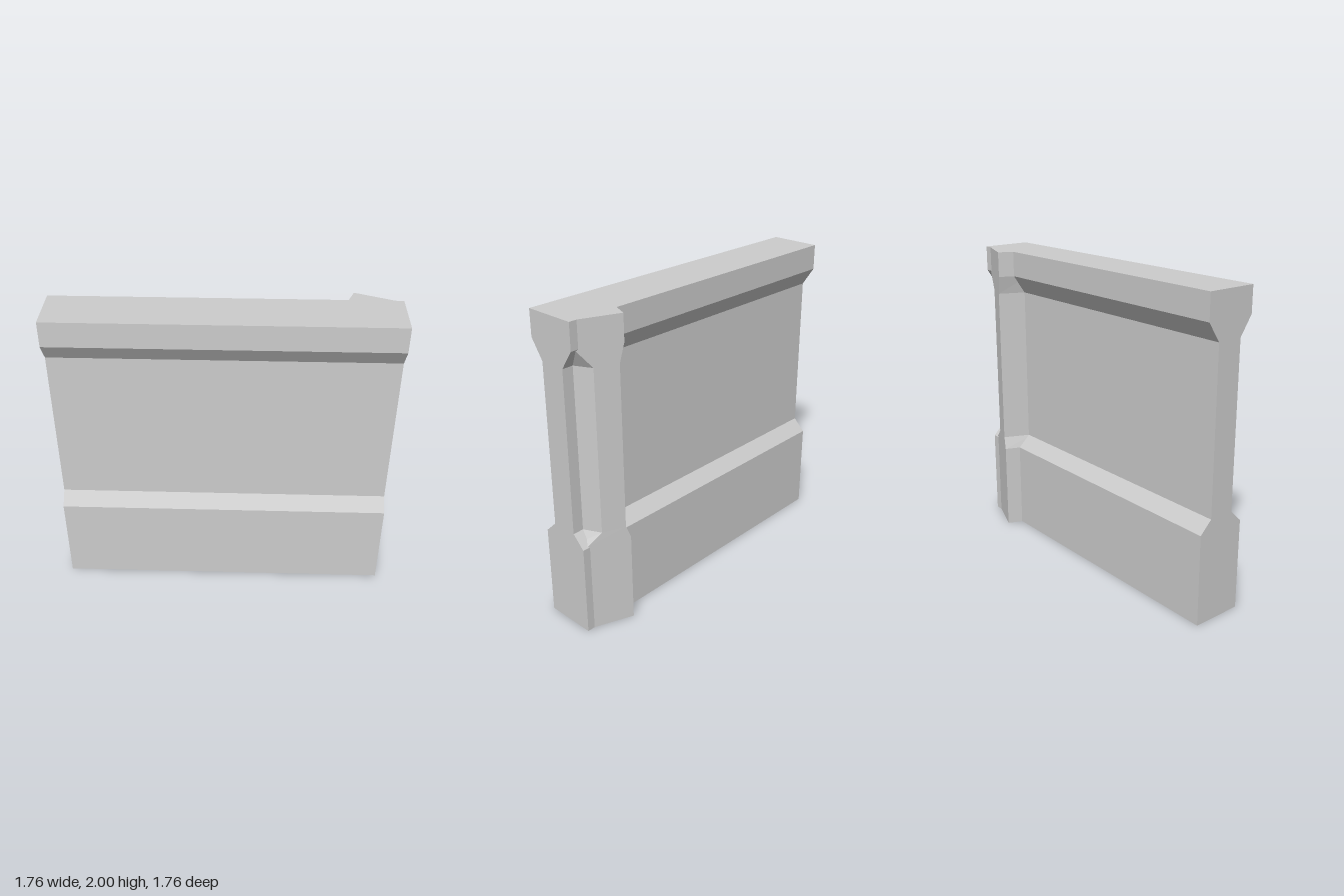
import * as THREE from 'three';

// Stack of matching convex plan outlines [x, z], counter-clockwise from above, capped at both ends
function loft(rings) {
  const pos = [];
  const tri = (...pts) => pts.forEach(p => pos.push(...p));
  const loops = rings.map(({ y, plan }) => plan.map(([x, z]) => [x, y, z]));
  const n = loops[0].length;
  for (let r = 0; r < loops.length - 1; r++) {
    const lo = loops[r], hi = loops[r + 1];
    for (let i = 0; i < n; i++) {
      const j = (i + 1) % n;
      tri(lo[i], lo[j], hi[j]);
      tri(lo[i], hi[j], hi[i]);
    }
  }
  const bottom = loops[0], top = loops[loops.length - 1];
  for (let i = 1; i < n - 1; i++) {
    tri(bottom[0], bottom[i + 1], bottom[i]);
    tri(top[0], top[i], top[i + 1]);
  }
  const geo = new THREE.BufferGeometry();
  geo.setAttribute('position', new THREE.Float32BufferAttribute(pos, 3));
  geo.computeVertexNormals();
  return geo;
}

export function createModel() {
  const group = new THREE.Group();
  const material = new THREE.MeshStandardMaterial({ color: 0xcccccc, flatShading: true });

  // Heights shared by the wall and the corner pillar
  const levels = [0, 0.59, 0.67, 1.715, 1.835, 2];
  const isWide = [true, true, false, false, true, true];

  // Wall: plinth, recessed panel and coping as one profile, extruded on the diagonal
  const wide = 0.166, narrow = 0.085, length = 2.157;
  const side = levels.map((y, i) => new THREE.Vector2(isWide[i] ? wide : narrow, y));
  const mirrored = side.map(p => new THREE.Vector2(-p.x, p.y)).reverse();
  const wallGeo = new THREE.ExtrudeGeometry(new THREE.Shape([...side, ...mirrored]), {
    depth: length, bevelEnabled: false,
  });
  wallGeo.translate(0, 0, -length / 2);
  wallGeo.rotateY(Math.PI * 0.75);
  const wall = new THREE.Mesh(wallGeo, material);
  wall.name = 'wall';
  group.add(wall);

  // Corner pillar: turned half-way to the wall, with a slimmer shaft
  const fullPlan = [[0.60, -0.55], [0.70, -0.81], [0.63, -0.853], [0.37, -0.74], [0.45, -0.55]];
  const shaftPlan = [[0.60, -0.55], [0.68, -0.762], [0.537, -0.812], [0.398, -0.752], [0.478, -0.553]];
  const pillar = new THREE.Mesh(
    loft(levels.map((y, i) => ({ y, plan: isWide[i] ? fullPlan : shaftPlan }))),
    material,
  );
  pillar.name = 'cornerPillar';
  group.add(pillar);

  return group;
}
